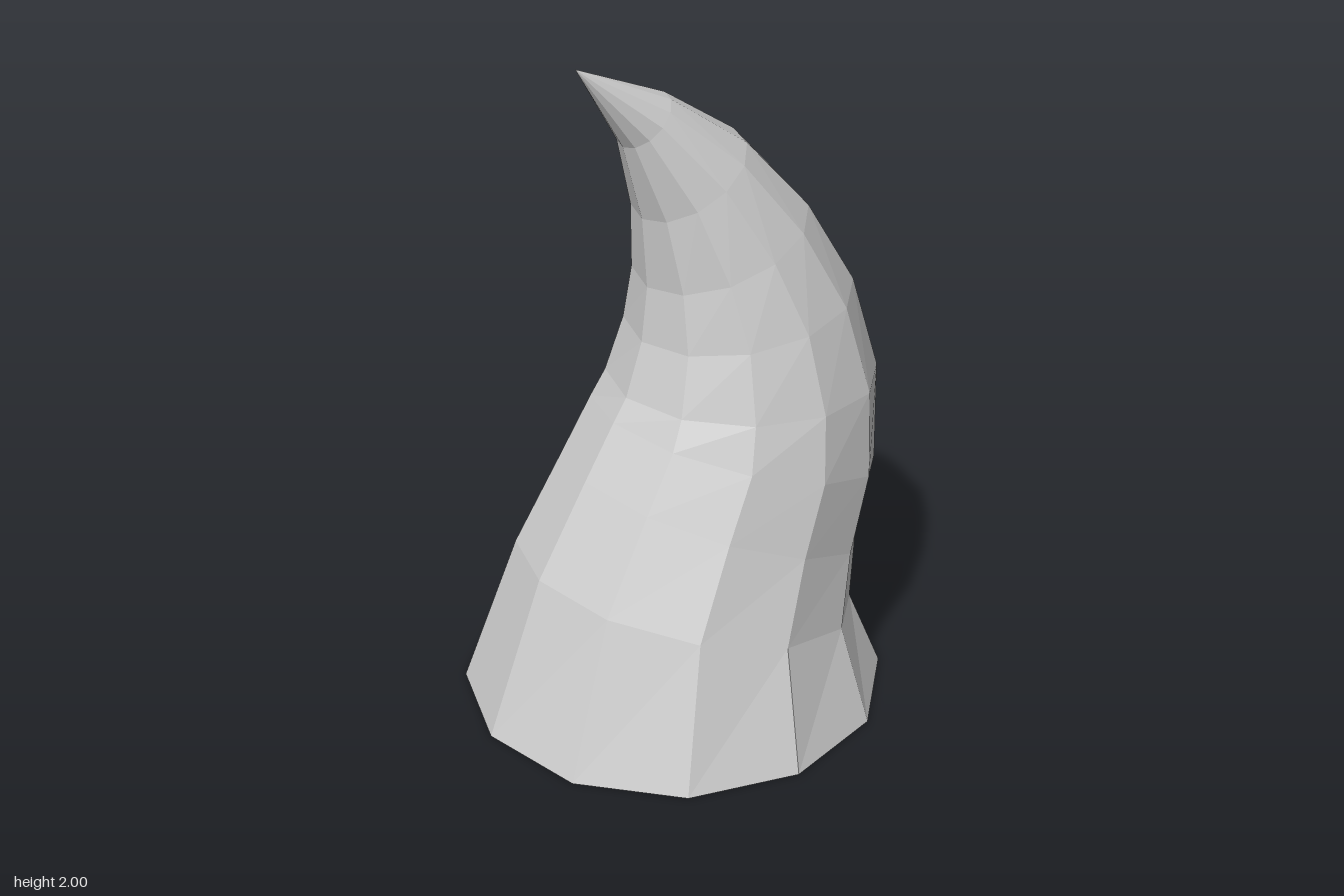
import * as THREE from 'three';

const SIDES = 12;

// Each ring is a tilted circle, given by the ends of its diameter:
// [outer x, outer y, inner x, inner y]
const RINGS = [
  [0.66, 0, -0.66, 0],
  [0.56, 0.22, -0.475, 0.485],
  [0.585, 0.42, -0.31, 0.765],
  [0.655, 0.67, -0.21, 0.93],
  [0.66, 0.99, -0.165, 1.0],
  [0.57, 1.285, -0.11, 1.165],
  [0.41, 1.54, -0.09, 1.33],
  [0.205, 1.75, -0.105, 1.54],
  [-0.03, 1.895, -0.165, 1.76],
];
const TIP = [-0.31, 2, 0];

function hornGeometry() {
  const positions = [];
  const index = [];

  // Cross-sections
  for (const [ox, oy, ix, iy] of RINGS) {
    const dx = (ox - ix) / 2;
    const dy = (oy - iy) / 2;
    const radius = Math.hypot(dx, dy);
    for (let j = 0; j < SIDES; j++) {
      const a = (j / SIDES) * Math.PI * 2;
      const c = Math.cos(a);
      positions.push((ox + ix) / 2 + dx * c, (oy + iy) / 2 + dy * c, radius * Math.sin(a));
    }
  }
  const tip = positions.length / 3;
  const baseCentre = tip + 1;
  positions.push(...TIP, 0, 0, 0);

  // Side walls, pointed tip and flat base
  const last = RINGS.length - 1;
  for (let j = 0; j < SIDES; j++) {
    const k = (j + 1) % SIDES;
    for (let i = 0; i < last; i++) {
      const low = i * SIDES;
      const high = low + SIDES;
      index.push(low + j, high + j, low + k, high + j, high + k, low + k);
    }
    index.push(last * SIDES + j, tip, last * SIDES + k);
    index.push(baseCentre, j, k);
  }

  const indexed = new THREE.BufferGeometry();
  indexed.setAttribute('position', new THREE.Float32BufferAttribute(positions, 3));
  indexed.setIndex(index);
  const geometry = indexed.toNonIndexed();
  geometry.computeVertexNormals();
  return geometry;
}

export function createModel() {
  const group = new THREE.Group();
  group.name = 'curvedHorn';

  const material = new THREE.MeshStandardMaterial({ color: 0xcccccc, flatShading: true });
  const horn = new THREE.Mesh(hornGeometry(), material);
  horn.name = 'horn';
  group.add(horn);

  return group;
}
